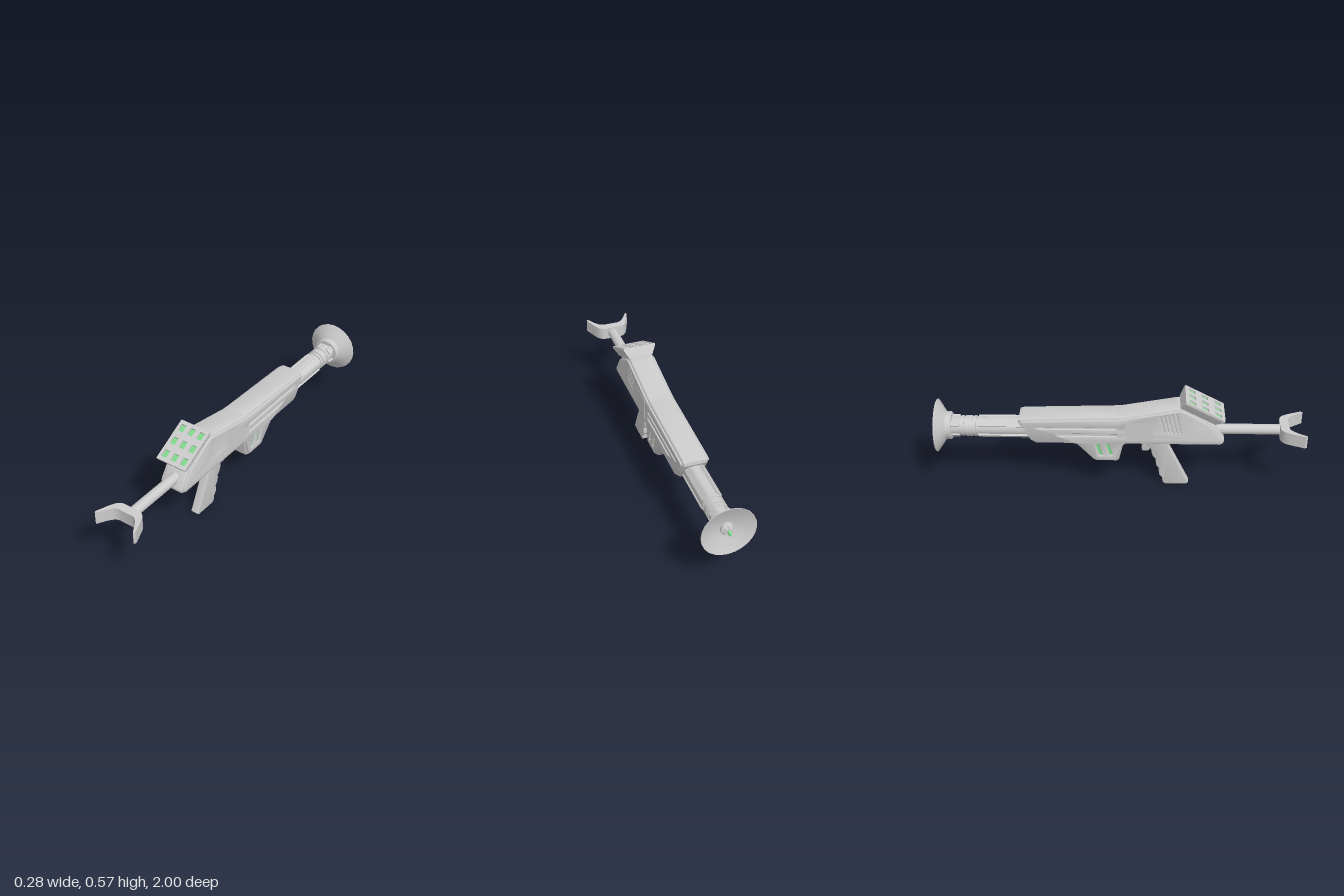
import * as THREE from 'three';
import { toCreasedNormals } from 'three/addons/utils/BufferGeometryUtils.js';

const grey = new THREE.MeshStandardMaterial({ color: 0xcccccc });
const green = new THREE.MeshStandardMaterial({ color: 0x7cd98a });
const AXIS = 0.353; // height of the barrel and stock axis

function add(parent, name, geometry, material = grey) {
  const mesh = new THREE.Mesh(geometry, material);
  mesh.name = name;
  parent.add(mesh);
  return mesh;
}

const toPoints = (pts) => pts.map(([z, y]) => new THREE.Vector2(-z, y));

// Side outline of [z, y] points, extruded across x from x0 to x1
function sideExtrude(pts, x0, x1, bevel = 0, holes = [], offset = 0) {
  const shape = new THREE.Shape(toPoints(pts));
  shape.holes = holes.map((h) => new THREE.Path(toPoints(h)));
  const geo = new THREE.ExtrudeGeometry(shape, {
    depth: x1 - x0 - 2 * bevel, bevelEnabled: bevel > 0, bevelSize: bevel,
    bevelThickness: bevel, bevelOffset: offset, bevelSegments: 4,
  });
  geo.translate(0, 0, x0 + bevel);
  geo.rotateY(Math.PI / 2);
  return toCreasedNormals(geo, 0.6);
}

// Moves every edge of an outline inwards by d, with mitred corners
function inset(pts, d) {
  const v = pts.map((p) => new THREE.Vector2(...p));
  const s = THREE.ShapeUtils.area(v) > 0 ? 1 : -1;
  return v.map((p, i) => {
    const a = p.clone().sub(v.at(i - 1)).normalize();
    const b = v[(i + 1) % v.length].clone().sub(p).normalize();
    const n = new THREE.Vector2(-a.y - b.y, a.x + b.x).multiplyScalar(s * d / (1 + a.dot(b)));
    return [p.x + n.x, p.y + n.y];
  });
}

// Turned part: profile of [radius, distance towards the rear]
function turned(profile, segments = 32) {
  const geo = new THREE.LatheGeometry(profile.map(([r, d]) => new THREE.Vector2(r, d)), segments);
  geo.rotateX(-Math.PI / 2);
  geo.translate(0, AXIS, 0);
  return toCreasedNormals(geo.toNonIndexed(), 0.5);
}
const sleeve = (r, d0, d1) => turned([[0, d0], [r, d0], [r, d1], [0, d1]]);

const slot = (z0, z1, y0, y1) => [[z0, y0], [z1, y0], [z1, y1], [z0, y1]];
const slant = (z0, y0, z1, y1, w) => [[z0, y0], [z0 - w, y0], [z1 - w, y1], [z1, y1]];

function createBody() {
  const body = new THREE.Group();
  body.name = 'body';
  const outline = [
    [0.545, 0.287], [0.563, 0.295], [0.57, 0.312], [0.562, 0.332], [0.5, 0.42], [0.365, 0.508],
    [0.33, 0.515], [0.3, 0.511], [0.03, 0.46], [-0.02, 0.456], [-0.5, 0.441], [-0.523, 0.434],
    [-0.526, 0.415], [-0.465, 0.305], [-0.435, 0.287], [-0.235, 0.287], [-0.215, 0.279],
    [-0.13, 0.186], [-0.11, 0.177], [-0.002, 0.177], [0.01, 0.186], [0.03, 0.275], [0.045, 0.287],
  ];
  const slits = [slant(-0.018, 0.217, -0.042, 0.297, 0.025), slant(-0.073, 0.217, -0.097, 0.297, 0.025)];
  const vents = Array.from({ length: 5 }, (_, i) =>
    slant(0.343 - i * 0.021, 0.365, 0.312 - i * 0.021, 0.488 - i * 0.004, 0.014));
  const grooves = [slot(0, -0.498, 0.38, 0.399), slot(0, -0.465, 0.336, 0.36)];

  add(body, 'bodyCore', sideExtrude(outline, -0.066, 0.066, 0.012, [], -0.012));
  const skin = inset(outline, 0.016);
  for (const s of [-1, 1]) {
    const range = (a, b) => (s > 0 ? [a, b] : [-b, -a]);
    // Side skin pierced by vents, grooves and slits
    add(body, 'sideSkin', sideExtrude(skin, ...range(0.06, 0.076), 0.004, [...vents, ...grooves, ...slits]));
    add(body, 'sidePlate', sideExtrude(slot(0.04, 0.19, 0.318, 0.432), ...range(0.074, 0.0775)));
    for (const p of slits) add(body, 'lightSlit', sideExtrude(p, ...range(0.062, 0.068)), green);
  }
  return body;
}

// Tilted light panel: pierced face on a tapered housing
function createPanel() {
  const panel = new THREE.Group();
  panel.name = 'lightPanel';
  const w = 0.09, h = 0.119;
  const rect = (P, x, y, a, b) => new P([[-a, -b], [a, -b], [a, b], [-a, b]]
    .map(([u, v]) => new THREE.Vector2(x + u, y + v)));
  const face = rect(THREE.Shape, 0, 0, w, h);
  for (const i of [-1, 0, 1]) for (const j of [-1, 0, 1]) {
    face.holes.push(rect(THREE.Path, i * 0.058, j * 0.078, 0.0155, 0.02));
    const light = add(panel, 'panelLight', new THREE.BoxGeometry(0.031, 0.04, 0.004), green);
    light.position.set(i * 0.058, j * 0.078, -0.012);
  }
  const plate = new THREE.ExtrudeGeometry(face, { depth: 0.012, bevelEnabled: false });
  plate.translate(0, 0, -0.012);
  add(panel, 'panelFace', plate);

  const housing = new THREE.BoxGeometry(2 * w, 2 * h, 0.046).toNonIndexed();
  const pos = housing.attributes.position;
  for (let i = 0; i < pos.count; i++) {
    if (pos.getZ(i) > 0) continue;
    pos.setX(i, pos.getX(i) * 0.74);
    if (pos.getY(i) < 0) pos.setY(i, pos.getY(i) + 0.028);
  }
  housing.translate(0, 0, -0.035);
  housing.computeVertexNormals();
  add(panel, 'panelHousing', housing);
  panel.position.set(0, 0.5135, 0.4625);
  panel.rotation.x = -1.08;
  return panel;
}

function createGrip() {
  const grip = new THREE.Group();
  grip.name = 'grip';
  // Wavy finger side towards the rear
  const handle = [
    [0.28, 0.31], [0.283, 0.27], [0.27, 0.235], [0.39, 0.012], [0.383, 0.002], [0.262, 0],
    [0.248, 0.01], [0.245, 0.04], [0.228, 0.06], [0.226, 0.085], [0.229, 0.1], [0.212, 0.12],
    [0.208, 0.145], [0.21, 0.16], [0.192, 0.18], [0.184, 0.205], [0.182, 0.225], [0.16, 0.25],
    [0.155, 0.31],
  ];
  handle[2] = [0.275, 0.25];
  add(grip, 'handle', sideExtrude(handle, -0.024, 0.024, 0.006, [], -0.006));
  const trigger = [[0.175, 0.3], [0.172, 0.22], [0.165, 0.213], [0.135, 0.213], [0.13, 0.23], [0.134, 0.25], [0.118, 0.27], [0.116, 0.3]];
  add(grip, 'trigger', sideExtrude(trigger, -0.014, 0.014, 0.003, [], -0.003));
  return grip;
}

function createStock() {
  const stock = new THREE.Group();
  stock.name = 'stock';
  add(stock, 'stockRod', sleeve(0.028, -0.885, -0.5));
  // Crescent rest, drawn from above as [x, z]
  const s = new THREE.Shape();
  s.moveTo(-0.045, 0.866);
  s.lineTo(0.045, 0.866);
  s.bezierCurveTo(0.09, 0.87, 0.095, 0.915, 0.126, 0.988);
  s.lineTo(0.119, 1);
  s.bezierCurveTo(0.09, 0.955, 0.075, 0.918, 0.042, 0.913);
  s.lineTo(-0.042, 0.913);
  s.bezierCurveTo(-0.075, 0.918, -0.09, 0.955, -0.119, 1);
  s.lineTo(-0.126, 0.988);
  s.bezierCurveTo(-0.095, 0.915, -0.09, 0.87, -0.045, 0.866);
  const rest = new THREE.ExtrudeGeometry(s, { depth: 0.071, bevelEnabled: false, curveSegments: 10 });
  rest.rotateX(Math.PI / 2);
  rest.translate(0, 0.388, 0);
  add(stock, 'shoulderRest', toCreasedNormals(rest, 0.6));
  return stock;
}

function createBarrel() {
  const barrel = new THREE.Group();
  barrel.name = 'barrel';
  add(barrel, 'barrelCore', sleeve(0.051, 0.42, 0.9));
  for (const [d0, d1] of [[0.755, 0.768], [0.778, 0.812], [0.822, 0.835]]) {
    add(barrel, 'barrelBand', sleeve(0.056, d0, d1));
  }
  // Rails along the barrel, broken by the bands
  for (let i = 0; i < 4; i++) for (const [d0, d1] of [[0.45, 0.745], [0.845, 0.895]]) {
    const a = Math.PI / 4 + i * Math.PI / 2;
    const rail = add(barrel, 'barrelRail', new THREE.BoxGeometry(0.014, 0.034, d1 - d0));
    rail.position.set(Math.cos(a) * 0.051, AXIS + Math.sin(a) * 0.051, -(d0 + d1) / 2);
    rail.rotation.z = a;
  }
  add(barrel, 'collar', turned([[0, 0.888], [0.07, 0.888], [0.075, 0.893], [0.075, 0.92], [0, 0.92]]));
  add(barrel, 'dish', turned([[0, 0.918], [0.074, 0.918], [0.142, 0.964], [0.142, 0.969], [0.065, 0.938], [0, 0.932]], 24));

  // Emitter with prongs around a lit tip
  add(barrel, 'emitterBase', turned([[0, 0.93], [0.034, 0.93], [0.034, 0.948], [0.022, 0.954], [0.018, 0.968], [0, 0.968]], 16));
  add(barrel, 'emitterTip', turned([[0, 0.96], [0.009, 0.96], [0.009, 0.982], [0, 1]], 12), green);
  for (let i = 0; i < 4; i++) {
    const prong = new THREE.ConeGeometry(0.009, 0.048, 4);
    prong.rotateX(-Math.PI / 2);
    prong.translate(0.02, 0, -0.968);
    prong.rotateZ(i * Math.PI / 2);
    prong.translate(0, AXIS, 0);
    add(barrel, 'emitterProng', toCreasedNormals(prong, 0.5));
  }
  return barrel;
}

export function createModel() {
  const model = new THREE.Group();
  model.name = 'rayRifle';
  model.add(createBody(), createPanel(), createGrip(), createStock(), createBarrel());
  return model;
}
